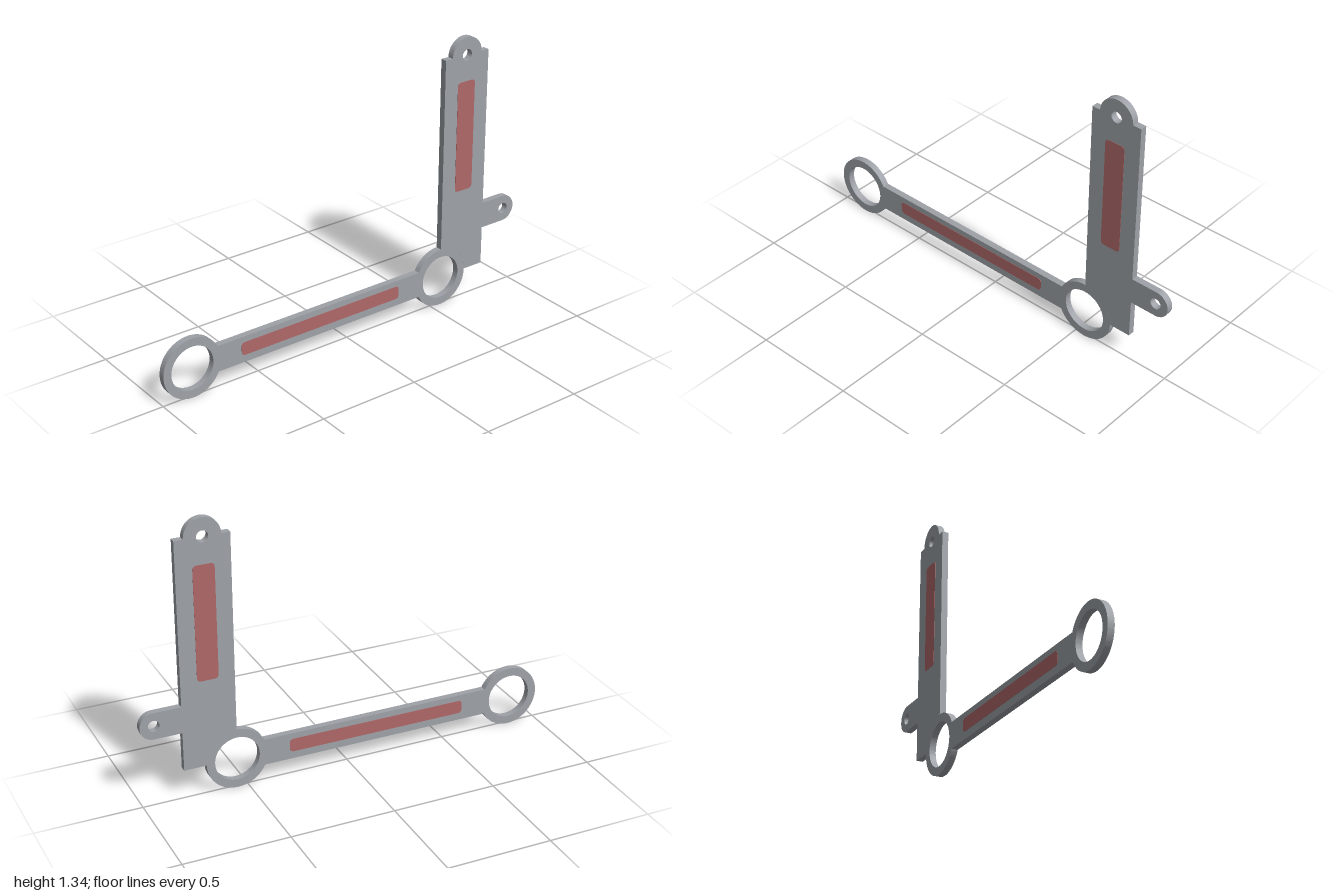
import * as THREE from 'three';
import { toCreasedNormals } from 'three/addons/utils/BufferGeometryUtils.js';

const THICK = 0.032;
const PI = Math.PI;

// Profiles are drawn with u = -z and v = y, then extruded across x.
function plate(name, shape, depth, material) {
  let geo = new THREE.ExtrudeGeometry(shape, { depth, bevelEnabled: false, curveSegments: 48 });
  geo.translate(0, 0, -depth / 2);
  geo.rotateY(PI / 2);
  geo = toCreasedNormals(geo, 0.5);
  const mesh = new THREE.Mesh(geo, material);
  mesh.name = name;
  return mesh;
}

function addHole(shape, u, v, r) {
  const hole = new THREE.Path();
  hole.absarc(u, v, r, 0, PI * 2, true);
  shape.holes.push(hole);
}

function roundedRect(u0, v0, u1, v1, r) {
  const s = new THREE.Shape();
  s.absarc(u1 - r, v0 + r, r, -PI / 2, 0);
  s.absarc(u1 - r, v1 - r, r, 0, PI / 2);
  s.absarc(u0 + r, v1 - r, r, PI / 2, PI);
  s.absarc(u0 + r, v0 + r, r, PI, PI * 1.5);
  s.closePath();
  return s;
}

export function createModel() {
  const grey = new THREE.MeshStandardMaterial({ color: 0x9ea2a8 });
  grey.name = 'grey metal';
  const red = new THREE.MeshStandardMaterial({ color: 0xb06868 });
  red.name = 'muted red';

  const group = new THREE.Group();
  group.name = 'bracket';

  // Horizontal arm with a ring at each end
  const ringR = 0.148, ringV = 0.148, frontU = -0.852, rearU = 0.55;
  const a = Math.asin(0.065 / ringR);
  const arm = new THREE.Shape();
  arm.absarc(frontU, ringV, ringR, a, PI * 2 - a);
  arm.absarc(rearU, ringV, ringR, PI + a, PI * 3 - a);
  arm.closePath();
  for (const u of [frontU, rearU]) addHole(arm, u, ringV, 0.108);
  group.add(plate('ringedArm', arm, THICK, grey));

  // Upright plate with top and rear lugs, seated on the rear ring
  const left = rearU, right = 0.805, top = 1.254;
  const topU = 0.677, topR = 0.086;
  const lugU = 0.935, lugV = 0.404, lugR = 0.065;
  const upright = new THREE.Shape();
  upright.moveTo(rearU + ringR, ringV);
  upright.lineTo(right, ringV);
  upright.lineTo(right, lugV - lugR);
  upright.absarc(lugU, lugV, lugR, -PI / 2, PI / 2);
  upright.lineTo(right, lugV + lugR);
  upright.lineTo(right, top);
  upright.absarc(topU, top, topR, 0, PI);
  upright.lineTo(left, top);
  upright.lineTo(left, ringV + ringR);
  upright.absarc(rearU, ringV, ringR, PI / 2, 0, true);
  addHole(upright, topU, top, 0.027);
  addHole(upright, lugU, lugV, 0.027);
  group.add(plate('uprightPlate', upright, THICK, grey));

  // Red inlays on both faces
  const inlays = {
    armInlay: roundedRect(-0.595, 0.119, 0.294, 0.184, 0.018),
    uprightInlay: roundedRect(0.626, 0.575, 0.727, 1.126, 0.018),
  };
  for (const [name, shape] of Object.entries(inlays)) {
    for (const side of [-1, 1]) {
      const inlay = plate(name + (side > 0 ? 'Left' : 'Right'), shape, 0.002, red);
      inlay.position.x = side * (THICK / 2 + 0.0005);
      group.add(inlay);
    }
  }
  return group;
}
